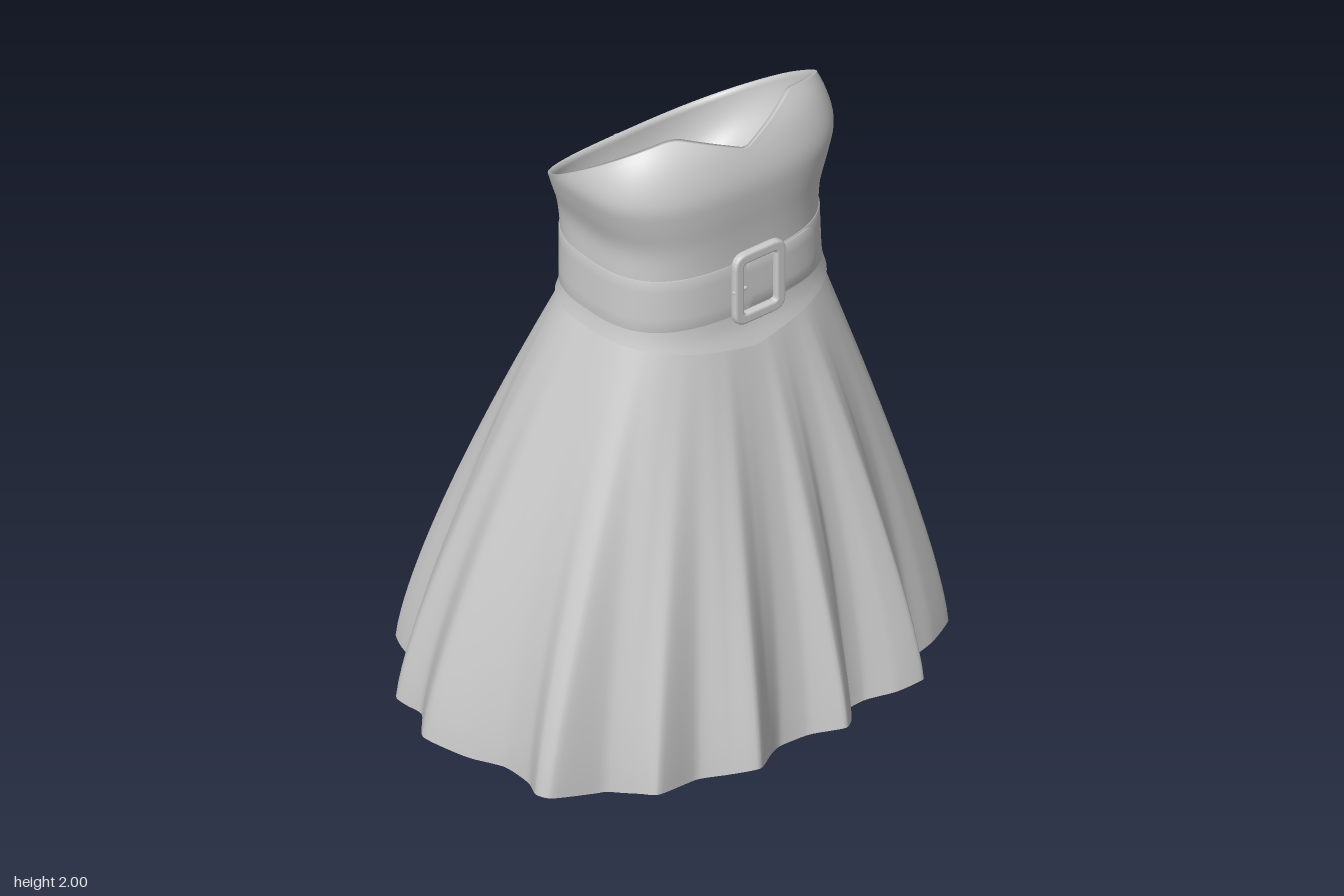
import * as THREE from 'three';

const fabric = new THREE.MeshStandardMaterial({ color: 0xcccccc, side: THREE.DoubleSide });
const TAU = Math.PI * 2;
const lerp = THREE.MathUtils.lerp;

// Torso cross-section by height: right x, left x, front z, back z
const heights = [1.27, 1.34, 1.45, 1.56, 1.65, 1.75, 1.82, 1.9, 1.96, 2.0];
const extents = [
  -0.425, 0.385, 0.43, -0.185,
  -0.4, 0.36, 0.41, -0.163,
  -0.39, 0.345, 0.405, -0.16,
  -0.39, 0.345, 0.403, -0.163,
  -0.393, 0.352, 0.408, -0.18,
  -0.425, 0.382, 0.418, -0.187,
  -0.443, 0.4, 0.42, -0.187,
  -0.43, 0.388, 0.4, -0.187,
  -0.4, 0.365, 0.37, -0.187,
  -0.37, 0.34, 0.335, -0.187,
];
const section = new THREE.CubicInterpolant(heights, extents, 4);
const POWER = 2.8;

function oval(y) {
  const [x0, x1, zf, zb] = section.evaluate(y);
  return { cx: (x0 + x1) / 2, cz: (zf + zb) / 2, a: (x1 - x0) / 2, b: (zf - zb) / 2 };
}

// Point on the torso at angle t and height y, pushed out by off
function torso(t, y, off = 0) {
  const { cx, cz, a, b } = oval(y);
  const c = Math.cos(t), s = Math.sin(t);
  const r = (Math.abs(c) ** POWER + Math.abs(s) ** POWER) ** (-1 / POWER);
  return [cx + (a + off) * r * c, y, cz + (b + off) * r * s];
}

// Depth of the torso's front at a given x
function frontZ(x, y) {
  const { cx, cz, a, b } = oval(y);
  return cz + b * (1 - Math.min(1, Math.abs((x - cx) / a)) ** POWER) ** (1 / POWER);
}

// Surface swept over u (around) and v (up), from a point function
function loft(name, nu, nv, closed, fn) {
  const pos = [], idx = [];
  const w = closed ? nu : nu + 1;
  for (let j = 0; j <= nv; j++)
    for (let i = 0; i < w; i++) pos.push(...fn(i / nu, j / nv));
  for (let j = 0; j < nv; j++)
    for (let i = 0; i < nu; i++) {
      const k = (i + 1) % w;
      const a = j * w + i, b = j * w + k, c = b + w, d = a + w;
      idx.push(a, d, b, b, d, c);
    }
  const g = new THREE.BufferGeometry();
  g.setAttribute('position', new THREE.Float32BufferAttribute(pos, 3));
  g.setIndex(idx);
  g.computeVertexNormals();
  const m = new THREE.Mesh(g, fabric);
  m.name = name;
  return m;
}

// Sweetheart neckline, sloping down to the back
function neckline(t) {
  let y = 1.8;
  for (let i = 0; i < 12; i++) {
    const [x, , z] = torso(t, y);
    const dip = z > 0.15 ? 0.08 * Math.max(0, 1 - Math.abs(x + 0.03) / 0.23) ** 1.2 : 0;
    y = lerp(y, 1.798 + 0.63 * Math.min(z, 0.32) - dip, 0.6);
  }
  return y;
}

// Bodice hem with a shallow point at the front
function bodiceHem(t) {
  const [x, , z] = torso(t, 1.34);
  return 1.34 - (z > 0.12 ? 0.063 * Math.max(0, 1 - Math.abs(x + 0.03) / 0.36) : 0);
}

// Skirt hem outline seen from above, x and z pairs
const hemOutline = [
  0.82, 0, 0.83, 0.07, 0.8, 0.13, 0.74, 0.17, 0.68, 0.24, 0.66, 0.35, 0.67, 0.4, 0.65, 0.46,
  0.56, 0.5, 0.48, 0.51, 0.43, 0.55, 0.42, 0.61, 0.4, 0.655, 0.32, 0.635, 0.25, 0.575, 0.18, 0.575,
  0.15, 0.64, 0.09, 0.69, 0.02, 0.61, -0.07, 0.59, -0.13, 0.62, -0.22, 0.685, -0.29, 0.63, -0.36, 0.57,
  -0.51, 0.585, -0.54, 0.53, -0.6, 0.45, -0.76, 0.41, -0.78, 0.36, -0.74, 0.28, -0.74, 0.17, -0.8, 0.05,
  -0.835, -0.08, -0.75, -0.19, -0.76, -0.29, -0.7, -0.345, -0.6, -0.37, -0.58, -0.49, -0.56, -0.54,
  -0.5, -0.54, -0.44, -0.515, -0.34, -0.555, -0.3, -0.635, -0.22, -0.655, -0.1, -0.64, 0.02, -0.7,
  0.06, -0.7, 0.2, -0.64, 0.46, -0.605, 0.5, -0.56, 0.65, -0.45, 0.7, -0.35, 0.7, -0.2, 0.72, -0.1, 0.74, -0.03,
];

// Folds are deep at the hem and soften towards the waist
function makeSkirt() {
  const pts = [];
  for (let i = 0; i < hemOutline.length; i += 2) pts.push(new THREE.Vector3(hemOutline[i], 0, hemOutline[i + 1]));
  const curve = new THREE.CatmullRomCurve3(pts, true, 'catmullrom', 0.3);
  const n = pts.length * 6;
  const hem = Array.from({ length: n }, (_, i) => curve.getPoint(i / n));
  const soft = hem.map((_, i) => {
    const sum = new THREE.Vector3();
    for (let k = -12; k <= 12; k++) sum.add(hem[(i + k + n) % n]);
    return sum.multiplyScalar(1.02 / 25);
  });
  return loft('skirt', n, 30, true, (u, v) => {
    const i = Math.round(u * n);
    const h = hem[i], s = soft[i];
    const ring = (Math.abs(h.x / 0.77) ** 2.5 + Math.abs(h.z / 0.64) ** 2.5) ** 0.4;
    const hemY = THREE.MathUtils.clamp(0.03 + 0.25 * (ring - 1) + 0.045 * h.x, 0, 0.12);
    const top = torso(Math.atan2(s.z / 0.65, s.x / 0.8), 1.345, -0.004);
    const flare = 1 - v ** 1.32;
    const blend = Math.min(1, v * 0.9);
    return [
      lerp(top[0], lerp(h.x, s.x, blend), flare),
      lerp(hemY, 1.345, v),
      lerp(top[2], lerp(h.z, s.z, blend), flare),
    ];
  });
}

function roundedRect(path, w, h, r) {
  const x = w / 2, y = h / 2;
  path.moveTo(-x + r, -y);
  path.lineTo(x - r, -y).quadraticCurveTo(x, -y, x, -y + r);
  path.lineTo(x, y - r).quadraticCurveTo(x, y, x - r, y);
  path.lineTo(-x + r, y).quadraticCurveTo(-x, y, -x, y - r);
  path.lineTo(-x, -y + r).quadraticCurveTo(-x, -y, -x + r, -y);
  return path;
}

function makeBuckle() {
  const buckle = new THREE.Group();
  buckle.name = 'buckle';
  const shape = roundedRect(new THREE.Shape(), 0.17, 0.222, 0.035);
  shape.holes.push(roundedRect(new THREE.Path(), 0.134, 0.184, 0.02));
  const frame = new THREE.Mesh(new THREE.ExtrudeGeometry(shape, {
    depth: 0.01, bevelEnabled: true, bevelSize: 0.008, bevelThickness: 0.008, bevelSegments: 3, curveSegments: 6,
  }), fabric);
  frame.name = 'buckleFrame';
  const prong = new THREE.Mesh(new THREE.CapsuleGeometry(0.006, 0.04, 4, 10), fabric);
  prong.name = 'buckleProng';
  prong.rotation.z = Math.PI / 2;
  prong.position.set(-0.07, 0, 0.008);
  buckle.add(frame, prong);
  buckle.position.set(-0.017, 1.482, 0.42);
  return buckle;
}

export function createModel() {
  const dress = new THREE.Group();
  dress.name = 'dress';

  dress.add(makeSkirt());

  dress.add(loft('bodice', 128, 32, true, (u, v) => {
    const t = u * TAU;
    return torso(t, lerp(bodiceHem(t), neckline(t), v), 0.008 * Math.max(0, 1 - v * 6));
  }));

  // Lining: a smooth bowl hung inside the sloping neckline
  dress.add(loft('lining', 128, 28, true, (u, v) => {
    const t = u * TAU, y = neckline(t);
    const p = torso(t, y, -0.012 * Math.min(1, v * 28));
    const a = Math.max(0, v * 28 - 1) / 27 * Math.PI / 2;
    const r = Math.cos(a) ** 0.8;
    return [lerp(-0.02, p[0], r), lerp(1.85, y, r) - 0.3 * Math.sin(a), lerp(0.1, p[2], r)];
  }));

  // Belt band with slim turned edges
  const band = [[1.388, -0.002], [1.389, 0.004], [1.43, 0.005], [1.52, 0.005], [1.557, 0.004], [1.558, -0.002]];
  dress.add(loft('belt', 128, band.length - 1, true, (u, v) => {
    const [y, off] = band[Math.round(v * (band.length - 1))];
    return torso(u * TAU, y, off);
  }));

  // Loose belt end with a rounded tip, lying on the front of the band
  const edge = [[-1, 0.002], [-1, 0.012], [-0.5, 0.013], [0, 0.013], [0.5, 0.013], [1, 0.012], [1, 0.002]];
  dress.add(loft('beltEnd', 32, edge.length - 1, false, (u, v) => {
    const x = lerp(0.245, -0.05, u * u);
    const k = Math.min(1, (0.245 - x) / 0.065);
    const half = 0.077 * Math.sqrt(1 - (1 - k) ** 2);
    const [s, off] = edge[Math.round(v * (edge.length - 1))];
    const y = 1.478 + s * half;
    return [x, y, frontZ(x, y) + off];
  }));

  dress.add(makeBuckle());

  // Small zip pull at the top of the back
  const zip = new THREE.Mesh(new THREE.BoxGeometry(0.014, 0.045, 0.01), fabric);
  zip.name = 'zipPull';
  zip.position.set(-0.04, 1.655, -0.186);
  dress.add(zip);

  return dress;
}
